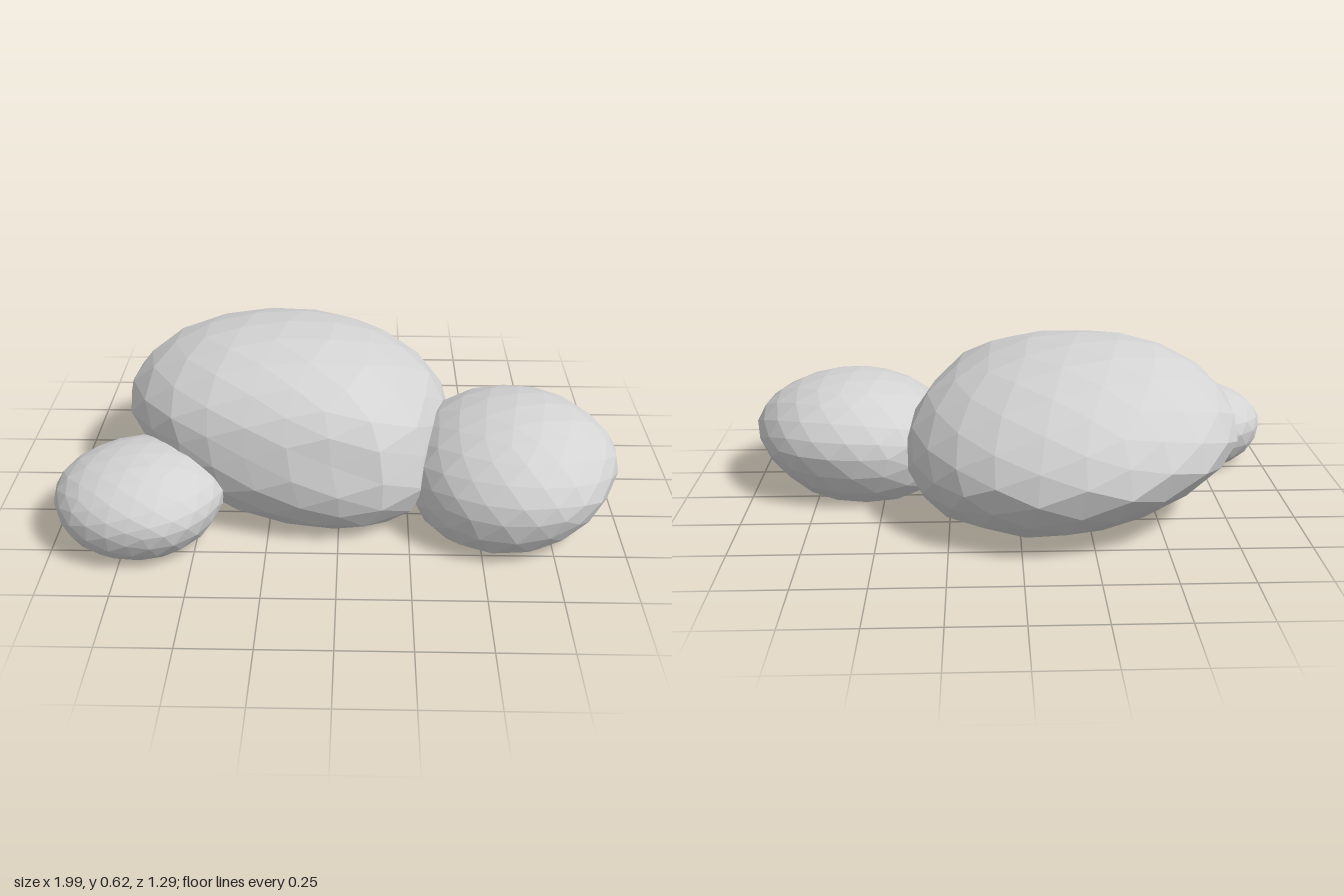
import * as THREE from 'three';

// Boulder: a faceted ball shaped by its plan outline, upper and lower heights,
// a slight lean, an undercut (heel) and a flat underside on the ground.
function makeBoulder({ name, center, outline, up, down, lean, heel, turn }, material) {
  const geometry = new THREE.IcosahedronGeometry(1, 3);
  geometry.rotateY(turn);
  const pos = geometry.attributes.position;
  const n = outline.length;

  // Radius around the plan outline, listed in even steps from +x to +z
  const radiusAt = (angle) => {
    const t = ((angle / (2 * Math.PI)) * n + n) % n;
    const i = Math.floor(t) % n;
    return THREE.MathUtils.lerp(outline[i], outline[(i + 1) % n], t - Math.floor(t));
  };

  const p = new THREE.Vector3();
  for (let i = 0; i < pos.count; i++) {
    p.fromBufferAttribute(pos, i).normalize();
    // Gentle chipping, the same for every copy of a shared corner
    const chip = 1.005 + 0.008 * Math.sin(5 * p.x + 3 * p.y + turn) * Math.cos(4 * p.z - 2 * p.y);
    const r = radiusAt(Math.atan2(p.z, p.x)) * chip;
    const low = Math.max(0, -p.y);
    const dx = p.x * r;
    const dz = p.z * r;
    const dy = p.y * (p.y > 0 ? up : down) + lean[0] * dx + lean[1] * dz;
    pos.setXYZ(
      i,
      center[0] + dx + heel[0] * low,
      Math.max(0, center[1] + dy),
      center[2] + dz + heel[1] * low,
    );
  }
  geometry.computeVertexNormals();
  const mesh = new THREE.Mesh(geometry, material);
  mesh.name = name;
  return mesh;
}

export function createModel() {
  const group = new THREE.Group();
  group.name = 'boulders';

  const stone = new THREE.MeshStandardMaterial({ color: 0xd3d3d3, flatShading: true });
  stone.name = 'pale grey stone';

  const boulders = [
    {
      name: 'largeBoulder', center: [-0.19, 0.28, -0.09], up: 0.335, down: 0.36,
      lean: [-0.05, 0.1], heel: [0.1, 0.18], turn: 0.3,
      outline: [
        0.6, 0.59, 0.6, 0.65, 0.61, 0.56, 0.53, 0.52, 0.53, 0.56, 0.58, 0.6,
        0.6, 0.6, 0.59, 0.57, 0.56, 0.555, 0.56, 0.565, 0.575, 0.58, 0.585, 0.59,
      ],
    },
    {
      name: 'mediumBoulder', center: [0.62, 0.2, 0.21], up: 0.23, down: 0.29,
      lean: [0.02, -0.03], heel: [-0.06, 0], turn: 1.4,
      outline: [0.38, 0.365, 0.38, 0.39, 0.38, 0.37, 0.36, 0.39, 0.4, 0.39, 0.385, 0.375],
    },
    {
      name: 'smallBoulder', center: [-0.69, 0.165, 0.38], up: 0.16, down: 0.205,
      lean: [0.02, -0.03], heel: [-0.01, 0], turn: 2.3,
      outline: [0.29, 0.285, 0.28, 0.27, 0.275, 0.29, 0.31, 0.3, 0.285, 0.28, 0.28, 0.28],
    },
  ];
  for (const b of boulders) group.add(makeBoulder(b, stone));
  return group;
}
